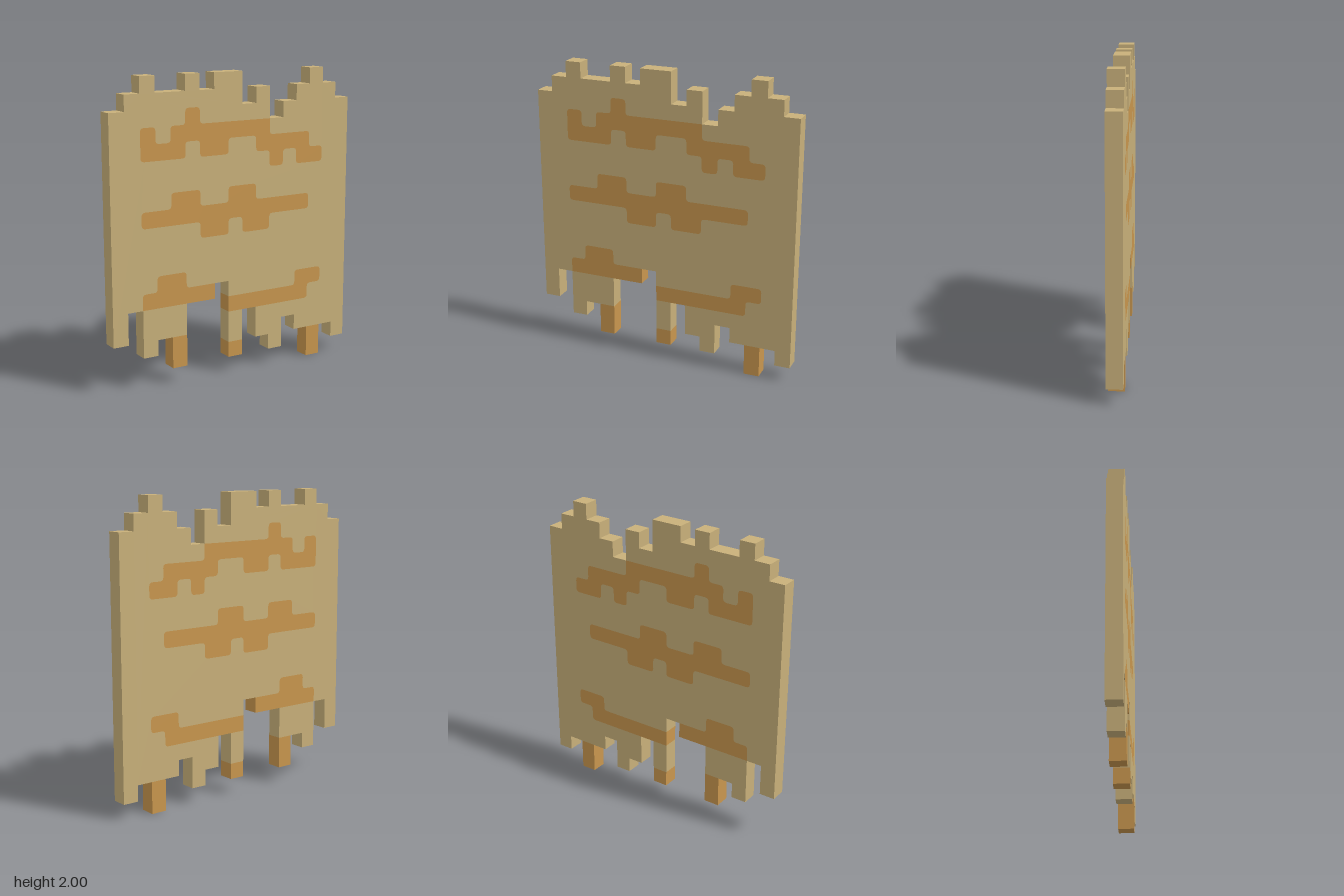
import * as THREE from 'three';

const COLS = 17, ROWS = 19, S = 2 / ROWS; // block grid, one block deep
const ROUND = 0.24 * S;                   // softened corners between colours

// lowest and highest edge of each column of the ragged panel, in blocks
const bottoms = [3, 5, 2, 3, 1, 5, 5, 6, 1, 4, 2, 1, 3, 2, 0, 2, 1];
const tops = [17, 18, 19, 18, 18, 19, 18, 19, 19, 17, 18, 16, 17, 18, 19, 18, 17];

// darker areas as runs: [row, first column, last column]
const stains = {
  topStripe: [[16, 5, 5], [15, 2, 2], [15, 4, 10], [14, 2, 4], [14, 6, 7], [14, 10, 13], [13, 11, 11], [13, 13, 14]],
  middleStripe: [[11, 4, 5], [11, 8, 9], [10, 2, 13], [9, 6, 7], [9, 9, 10]],
  lowerStripe: [[6, 3, 4], [5, 2, 6], [5, 13, 14], [4, 8, 13]],
  feet: [[2, 4, 4], [1, 4, 4], [1, 8, 8], [1, 14, 14], [0, 14, 14]],
};

const key = (c, r) => c + ',' + r;
const solid = (c, r) => c >= 0 && c < COLS && r >= bottoms[c] && r < tops[c];

// walk round a set of blocks, giving closed loops of corners
function traceLoops(cells) {
  const edges = new Map();
  const addEdge = (x, y, dx, dy) => {
    const k = key(x, y);
    if (!edges.has(k)) edges.set(k, []);
    edges.get(k).push({ x, y, dx, dy });
  };
  for (const cell of cells) {
    const [c, r] = cell.split(',').map(Number);
    if (!cells.has(key(c, r - 1))) addEdge(c, r, 1, 0);
    if (!cells.has(key(c + 1, r))) addEdge(c + 1, r, 0, 1);
    if (!cells.has(key(c, r + 1))) addEdge(c + 1, r + 1, -1, 0);
    if (!cells.has(key(c - 1, r))) addEdge(c, r + 1, 0, -1);
  }
  const loops = [];
  for (const list of edges.values()) {
    while (list.length) {
      const path = [];
      let e = list.pop();
      while (e) {
        path.push(e);
        const next = edges.get(key(e.x + e.dx, e.y + e.dy));
        const left = next.findIndex((n) => e.dx * n.dy - e.dy * n.dx > 0);
        e = next.length ? next.splice(Math.max(left, 0), 1)[0] : null;
      }
      // keep only the corners, with the directions in and out
      const corners = path
        .map((n, i) => ({ ...n, from: path[(i + path.length - 1) % path.length] }))
        .filter((n) => n.dx !== n.from.dx || n.dy !== n.from.dy);
      loops.push(corners);
    }
  }
  return loops;
}

const signedArea = (loop) => loop.reduce((sum, p, i) => {
  const q = loop[(i + 1) % loop.length];
  return sum + (p.x * q.y - q.x * p.y) / 2;
}, 0);

// draw a loop; corners inside the panel are rounded, corners on its rim stay square
function drawLoop(path, loop) {
  for (let i = 0; i <= loop.length; i++) {
    const p = loop[i % loop.length];
    const inside = solid(p.x, p.y) && solid(p.x - 1, p.y) && solid(p.x, p.y - 1) && solid(p.x - 1, p.y - 1);
    const r = inside ? ROUND : 0;
    const x = (p.x - COLS / 2) * S, y = p.y * S;
    const ex = x + p.dx * r, ey = y + p.dy * r;
    if (i === 0) {
      path.moveTo(ex, ey);
    } else if (r) {
      path.lineTo(x - p.from.dx * r, y - p.from.dy * r);
      path.quadraticCurveTo(x, y, ex, ey);
    } else if (i < loop.length) {
      path.lineTo(x, y);
    }
  }
  return path;
}

// extrude a set of blocks to the thickness of the panel
function makePart(name, cells, material) {
  const loops = traceLoops(cells).sort((a, b) => signedArea(b) - signedArea(a));
  const shapes = loops.filter((l) => signedArea(l) > 0).map((l) => drawLoop(new THREE.Shape(), l));
  for (const l of loops) {
    if (signedArea(l) < 0) shapes[0].holes.push(drawLoop(new THREE.Path(), l));
  }
  const geometry = new THREE.ExtrudeGeometry(shapes, { depth: S, bevelEnabled: false, curveSegments: 4 });
  geometry.translate(0, 0, -S / 2);
  const mesh = new THREE.Mesh(geometry, material);
  mesh.name = name;
  return mesh;
}

export function createModel() {
  const tan = new THREE.MeshStandardMaterial({ color: 0xc8b07a });
  tan.name = 'tan';
  const ochre = new THREE.MeshStandardMaterial({ color: 0xc8964e });
  ochre.name = 'ochre';

  const group = new THREE.Group();
  group.name = 'raggedPanel';

  // all blocks of the panel, less those taken by the darker areas
  const panel = new Set();
  for (let c = 0; c < COLS; c++) {
    for (let r = bottoms[c]; r < tops[c]; r++) panel.add(key(c, r));
  }
  for (const [name, runs] of Object.entries(stains)) {
    const cells = new Set();
    for (const [r, first, last] of runs) {
      for (let c = first; c <= last; c++) {
        cells.add(key(c, r));
        panel.delete(key(c, r));
      }
    }
    group.add(makePart(name, cells, ochre));
  }
  group.add(makePart('panel', panel, tan));
  return group;
}
